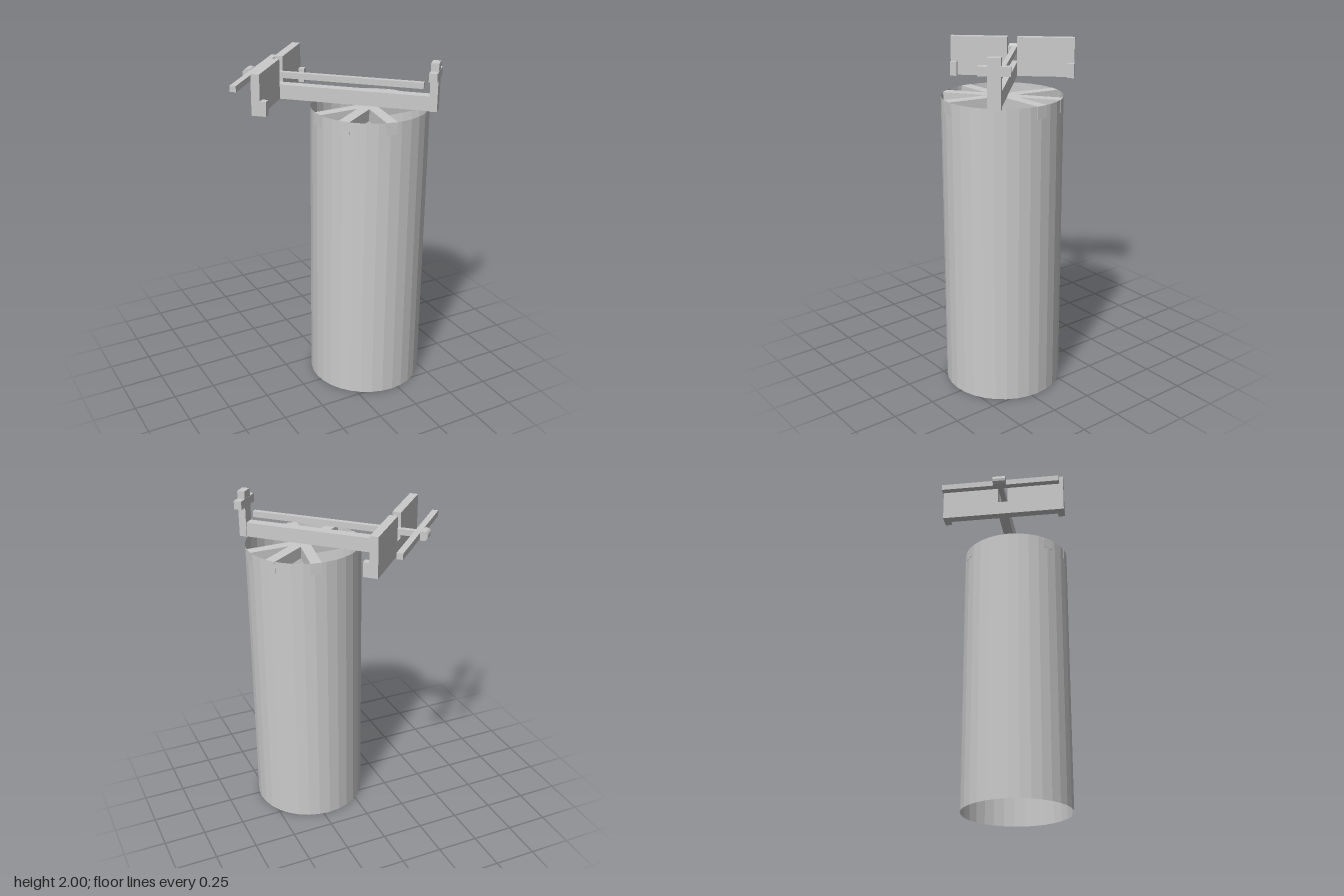
import * as THREE from 'three';

export function createModel() {
  const model = new THREE.Group();
  const mat = new THREE.MeshStandardMaterial({ color: 0xcccccc, flatShading: true });
  const openMat = new THREE.MeshStandardMaterial({ color: 0xcccccc, flatShading: true, side: THREE.DoubleSide });

  // Box given by its extents along each axis
  function bar(parent, name, [x0, x1], [y0, y1], [z0, z1]) {
    const mesh = new THREE.Mesh(new THREE.BoxGeometry(x1 - x0, y1 - y0, z1 - z0), mat);
    mesh.name = name;
    mesh.position.set((x0 + x1) / 2, (y0 + y1) / 2, (z0 + z1) / 2);
    parent.add(mesh);
    return mesh;
  }

  // Open tube with crossing spokes in its mouth
  const R = 0.34, H = 1.725;
  const barrel = new THREE.Group();
  barrel.name = 'barrel';
  barrel.position.set(0.21, 0, 0.205);
  model.add(barrel);
  const tube = new THREE.Mesh(new THREE.CylinderGeometry(R, R, H, 32, 1, true), openMat);
  tube.name = 'tube';
  tube.position.y = H / 2;
  barrel.add(tube);
  for (const angle of [1, 35, 80]) {
    const spoke = bar(barrel, 'spoke', [-R, R], [H - 0.07, H], [-0.032, 0.032]);
    spoke.rotation.y = THREE.MathUtils.degToRad(angle);
  }

  // Sight assembly, laid along local x and turned to the diagonal
  const sight = new THREE.Group();
  sight.name = 'sight';
  sight.rotation.y = THREE.MathUtils.degToRad(-44);
  model.add(sight);
  bar(sight, 'beam', [-0.285, 0.64], [H, 1.81], [-0.03, 0.03]);
  bar(sight, 'slidingRod', [-0.42, 0.6], [1.845, 1.88], [-0.015, 0.015]);

  // Cross-shaped post at the far end
  bar(sight, 'post', [0.638, 0.683], [H, 2], [-0.036, 0.036]);
  bar(sight, 'postArm', [0.637, 0.684], [1.905, 1.955], [-0.086, 0.086]);

  // Paired plates with a small hook at each outer end
  for (const s of [-1, 1]) {
    const span = (a, b) => (s > 0 ? [a, b] : [-b, -a]);
    bar(sight, 'plate', [-0.285, -0.235], [H, 1.96], span(0.03, 0.376));
    bar(sight, 'hook', [-0.235, -0.2], [H, 1.81], span(0.336, 0.376));
  }

  // Cross handle with a rounded grip behind it
  bar(sight, 'handle', [-0.415, -0.378], [1.845, 1.88], [-0.36, 0.36]);
  const grip = new THREE.Mesh(new THREE.CylinderGeometry(0.028, 0.028, 0.075, 12), mat);
  grip.name = 'grip';
  grip.rotation.x = Math.PI / 2;
  grip.position.set(-0.432, 1.8625, 0);
  sight.add(grip);

  return model;
}
